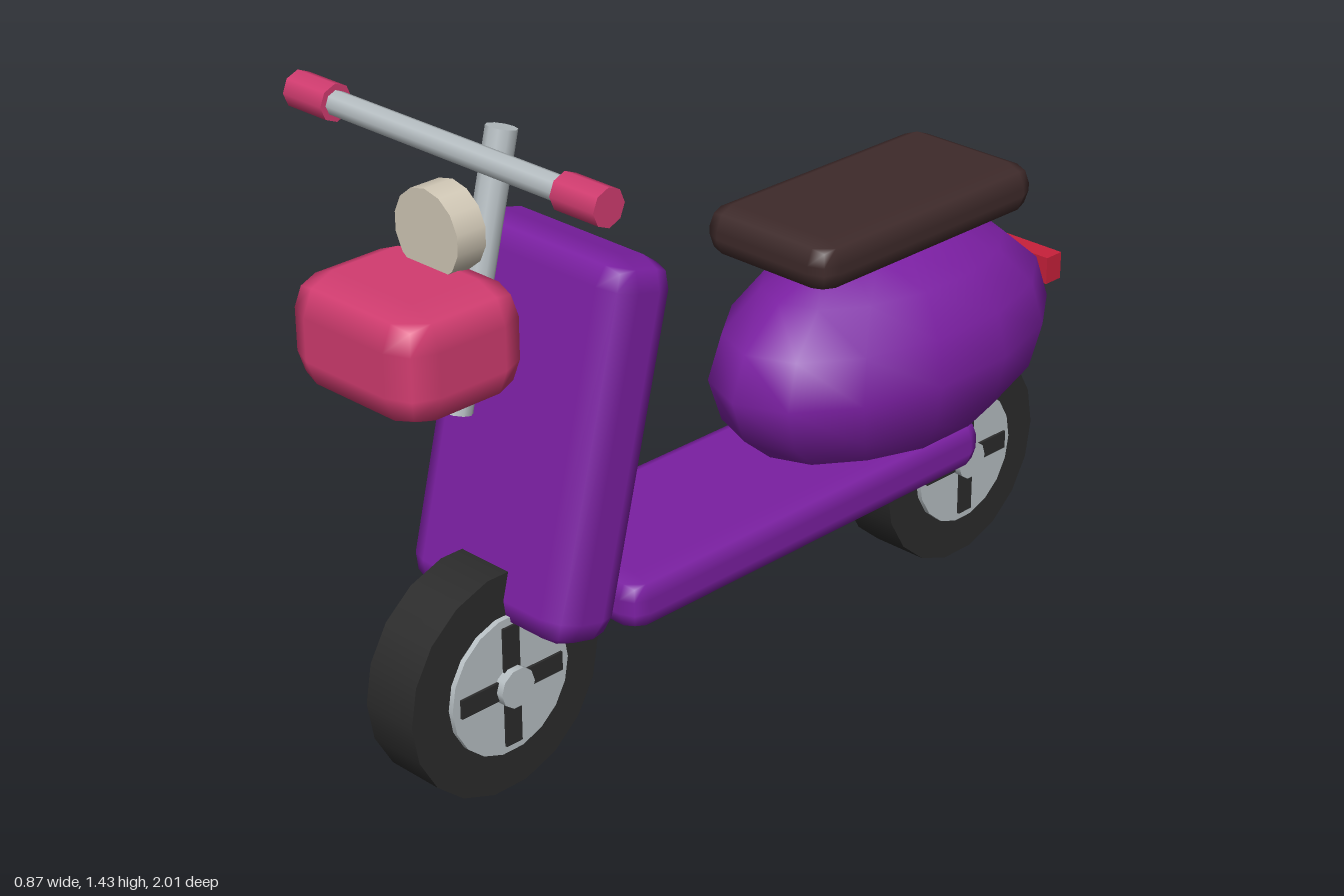
import * as THREE from 'three';
import { RoundedBoxGeometry } from 'three/addons/geometries/RoundedBoxGeometry.js';

const paint = (name, color) => Object.assign(new THREE.MeshStandardMaterial({ color }), { name });

export function createModel() {
  const purple = paint('purple paint', 0x7b1fa2);
  const pink = paint('pink', 0xd23c70);
  const brown = paint('seat brown', 0x3e2a2a);
  const rubber = paint('black rubber', 0x2b2b2b);
  const silver = paint('silver', 0xb8c0c4);
  const cream = paint('cream lamp', 0xd2c9b7);
  const red = paint('red lamp', 0xc8203a);

  const scooter = new THREE.Group();
  scooter.name = 'scooter';

  function add(name, geometry, material, x, y, z, parent = scooter) {
    const mesh = new THREE.Mesh(geometry, material);
    mesh.name = name;
    mesh.position.set(x, y, z);
    parent.add(mesh);
    return mesh;
  }

  // Coarsely rounded box; w, h, d are the visible sizes, as one segment cuts into the radius
  function softBox(w, h, d, r) {
    const e = 0.19 * r;
    return new RoundedBoxGeometry(w + e, h + e, d + e, 1, r);
  }

  // Cylinder lying along x
  const axle = (r, length, sides) =>
    new THREE.CylinderGeometry(r, r, length, sides).rotateZ(Math.PI / 2);

  // Wheels: tyre, rim, hub cap and a dark cross on each side
  function addWheel(name, z) {
    const wheel = new THREE.Group();
    wheel.name = name;
    wheel.position.set(0, 0.255, z);
    scooter.add(wheel);
    add('tyre', axle(0.25, 0.136, 18), rubber, 0, 0, 0, wheel);
    add('rim', axle(0.155, 0.16, 18), silver, 0, 0, 0, wheel);
    add('hubCap', axle(0.044, 0.204, 10), silver, 0, 0, 0, wheel);
    add('spokeUpright', new THREE.BoxGeometry(0.172, 0.27, 0.042), rubber, 0, 0, 0, wheel);
    add('spokeLevel', new THREE.BoxGeometry(0.172, 0.042, 0.27), rubber, 0, 0, 0, wheel);
  }
  addWheel('frontWheel', 0.693);
  addWheel('rearWheel', -0.7);

  // Body: floor, leg shield and rear shell
  const tilt = -0.246;
  add('footboard', softBox(0.4, 0.112, 1.075, 0.045), purple, 0, 0.371, -0.073);
  add('legShield', softBox(0.454, 0.785, 0.165, 0.06), purple, 0, 0.748, 0.528).rotation.x = tilt;
  const shell = new THREE.SphereGeometry(1, 14, 8).rotateY(Math.PI / 2).scale(0.272, 0.265, 0.475);
  add('rearShell', shell, purple, 0, 0.6, -0.497);

  // Seat and tail light
  add('seat', softBox(0.35, 0.108, 0.68, 0.05), brown, 0, 0.919, -0.453);
  add('tailLight', new THREE.BoxGeometry(0.19, 0.064, 0.05), red, 0, 0.643, -0.975);

  // Steering column, handlebar and grips
  add('steeringColumn', new THREE.CylinderGeometry(0.032, 0.032, 0.565, 10), silver, 0, 1.123, 0.67)
    .rotation.x = tilt;
  add('handlebar', axle(0.026, 0.84, 8), silver, 0, 1.397, 0.738);
  for (const side of [-1, 1]) {
    add(side > 0 ? 'leftGrip' : 'rightGrip', axle(0.039, 0.113, 8), pink, side * 0.376, 1.397, 0.738);
  }

  // Headlight and front basket
  add('headlight', new THREE.CylinderGeometry(0.09, 0.09, 0.07, 14).rotateX(Math.PI / 2), cream, 0, 1.238, 0.762);
  add('basket', softBox(0.36, 0.225, 0.295, 0.075), pink, 0, 1.053, 0.8525);

  return scooter;
}
